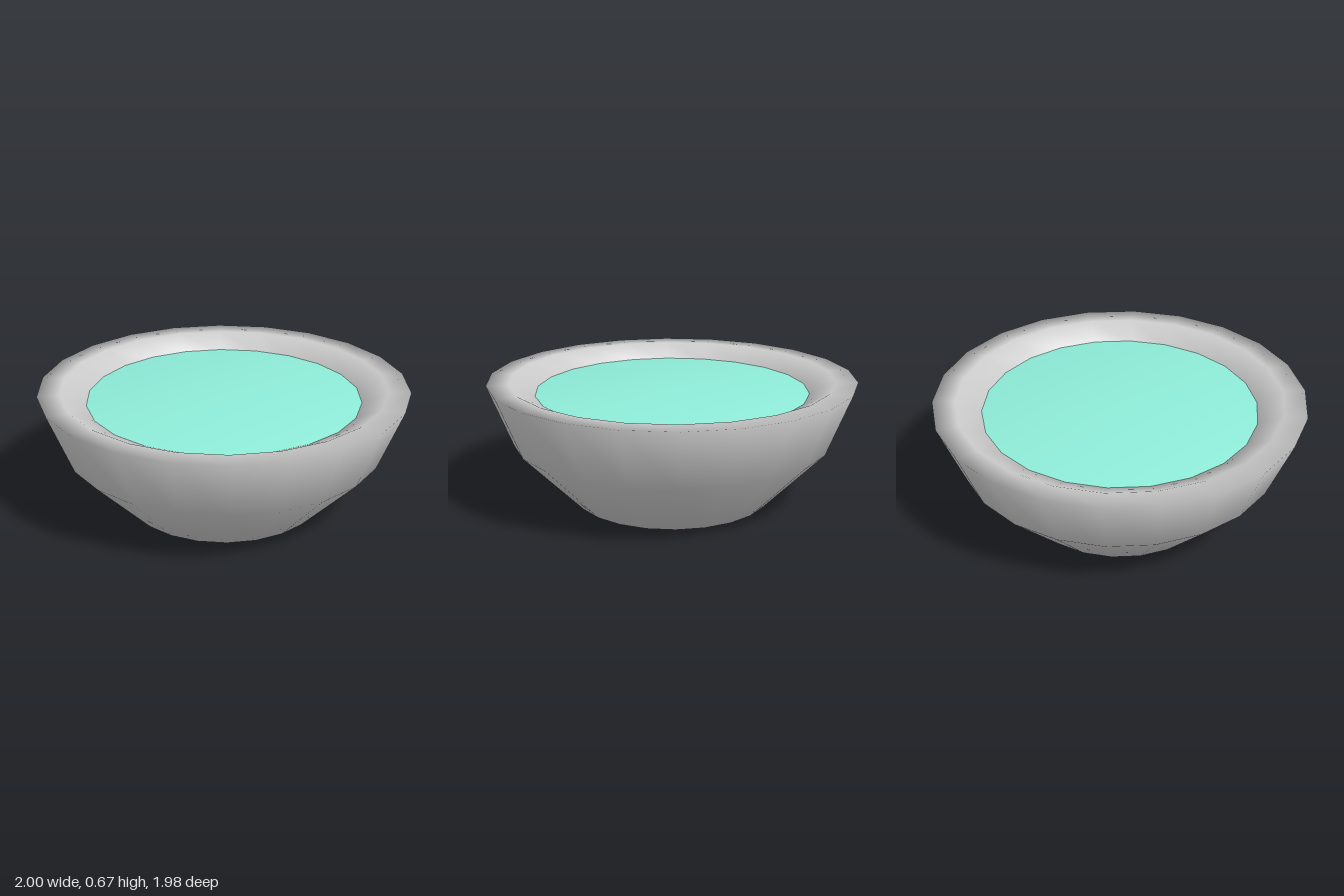
import * as THREE from 'three';

const SIDES = 22;

// Smooth-shaded solid of revolution; corners lie on the x axis
function turned(name, profile, color) {
  const points = profile.map(([r, y]) => new THREE.Vector2(r, y));
  const geometry = new THREE.LatheGeometry(points, SIDES, Math.PI / 2);
  const mesh = new THREE.Mesh(geometry, new THREE.MeshStandardMaterial({ color }));
  mesh.name = name;
  return mesh;
}

export function createModel() {
  const group = new THREE.Group();
  group.name = 'filledBowl';

  // Bowl: base, flared outside, flat rim, sloped lip and hollow inside
  group.add(turned('bowl', [
    [0, 0], [0.535, 0], [0.865, 0.335], [1, 0.67],
    [0.88, 0.67], [0.74, 0.6], [0.737, 0.5], [0.42, 0.12], [0, 0.12],
  ], 0xcccccc));

  // Liquid: flat surface just below the rim, softly shaded at its edge
  group.add(turned('liquid', [
    [0, 0.3], [0.55, 0.3], [0.742, 0.5], [0.742, 0.603], [0, 0.603],
  ], 0x8eecd8));

  return group;
}
